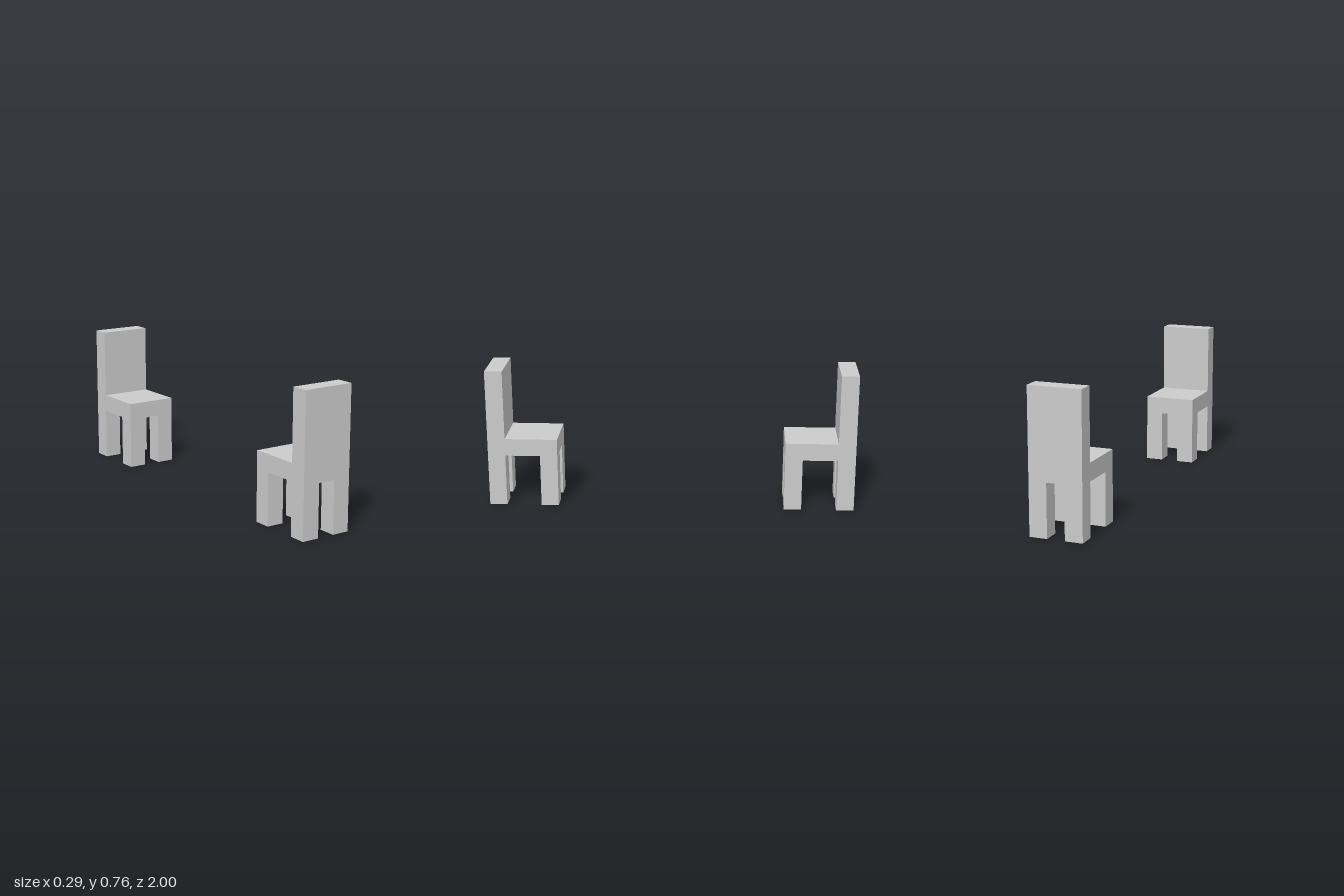
import * as THREE from 'three';

const U = 2 / 21; // thickness of legs, seat and backrest
const material = new THREE.MeshStandardMaterial({ color: 0xcccccc, flatShading: true });

// Box sized and placed in units of U, standing on height y
function block(name, w, h, d, x, y, z) {
  const mesh = new THREE.Mesh(new THREE.BoxGeometry(w * U, h * U, d * U), material);
  mesh.position.set(x * U, (y + h / 2) * U, z * U);
  mesh.name = name;
  return mesh;
}

// Chair facing +z, centred on its own origin
function createChair(name) {
  const chair = new THREE.Group();
  chair.name = name;
  chair.add(block('seat', 3, 1, 4, 0, 3, 0));
  chair.add(block('backrest', 3, 4, 1, 0, 4, -1.5));
  for (const [side, x] of [['Left', 1], ['Right', -1]]) {
    chair.add(block(`front${side}Leg`, 1, 3, 1, x, 0, 1.5));
    chair.add(block(`back${side}Leg`, 1, 3, 1, x, 0, -1.5));
  }
  return chair;
}

export function createModel() {
  const model = new THREE.Group();
  model.name = 'facingChairs';

  // Two chairs facing each other across the gap
  const backChair = createChair('backChair');
  backChair.position.z = -1 + 2 * U;
  const frontChair = createChair('frontChair');
  frontChair.position.z = 1 - 2 * U;
  frontChair.rotation.y = Math.PI;

  model.add(backChair, frontChair);
  return model;
}
